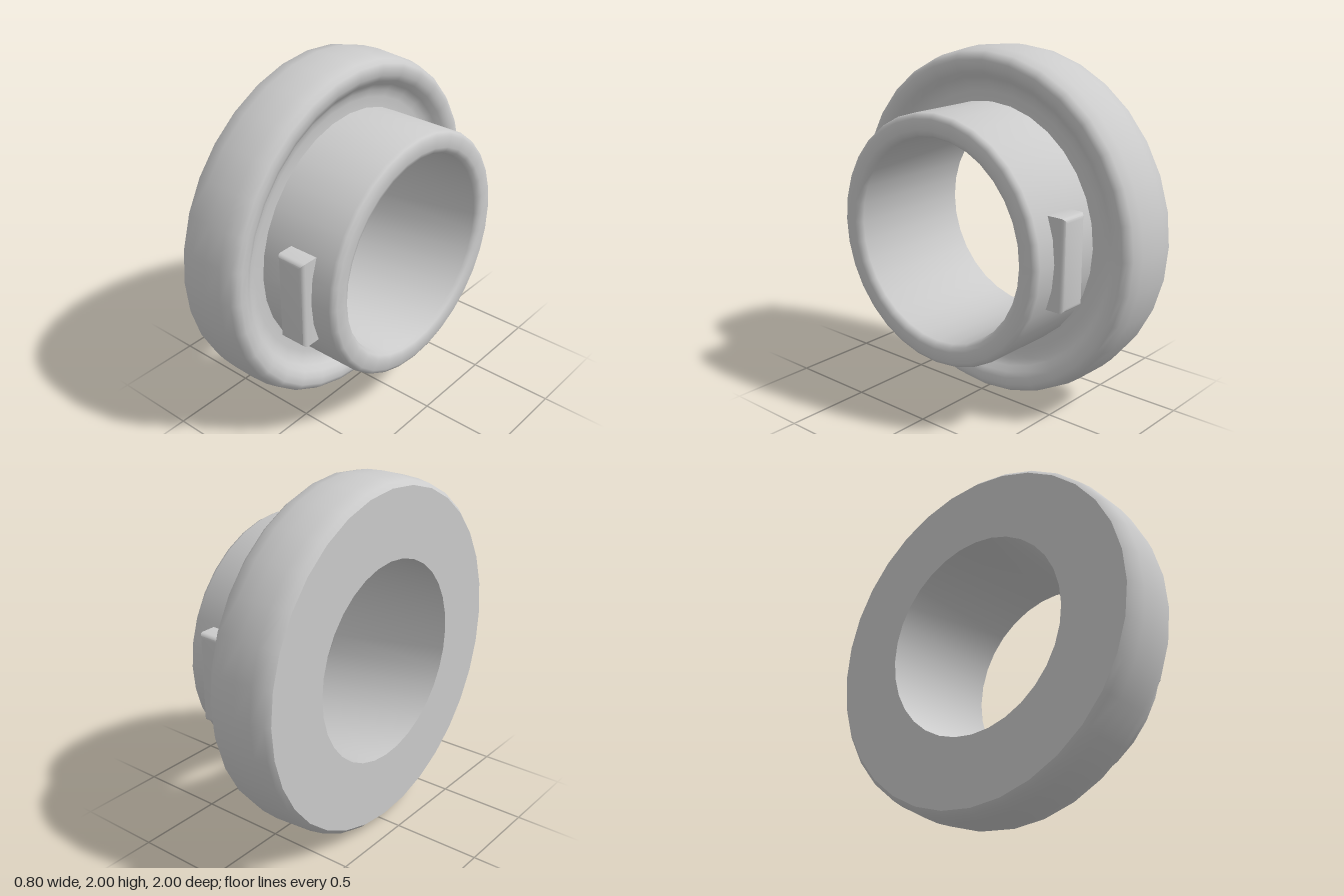
import * as THREE from 'three';
import { toCreasedNormals } from 'three/addons/utils/BufferGeometryUtils.js';

const material = new THREE.MeshStandardMaterial({ color: 0xcccccc });

function addMesh(parent, geometry, name, crease) {
  const mesh = new THREE.Mesh(toCreasedNormals(geometry, crease), material);
  mesh.name = name;
  parent.add(mesh);
  return mesh;
}

export function createModel() {
  const model = new THREE.Group();
  model.name = 'flangedCollar';

  // Flange and sleeve turned as one closed profile: [radius, position along x]
  const profile = [
    [0.57, -0.4], [0.955, -0.4], [0.98, -0.375], [0.994, -0.3], [1, -0.2],
    [0.994, -0.1], [0.98, -0.035], [0.96, -0.008], [0.935, 0], [0.895, -0.004],
    [0.862, -0.02], [0.835, -0.05], [0.8, -0.072], [0.76, -0.08], [0.7, -0.08], // dished front
    [0.7, 0.37], [0.692, 0.388], [0.67, 0.4], [0.61, 0.4], [0.585, 0.392], [0.57, 0.37], // rounded lip
    [0.57, -0.4],
  ].map(([r, x]) => new THREE.Vector2(r, x));
  const body = new THREE.LatheGeometry(profile, 32);
  body.rotateZ(-Math.PI / 2);
  addMesh(model, body, 'flangeAndSleeve', 0.75).position.y = 1;

  // Bevelled locking lugs on the front and back of the sleeve
  const bevel = 0.025;
  const w = 0.085 - bevel, h = 0.25 - bevel;
  const outline = new THREE.Shape([
    new THREE.Vector2(-w, -h), new THREE.Vector2(w, -h),
    new THREE.Vector2(w, h), new THREE.Vector2(-w, h),
  ]);
  const lug = new THREE.ExtrudeGeometry(outline, {
    depth: 0.1, bevelEnabled: true, bevelSize: bevel, bevelThickness: bevel, bevelSegments: 3,
  });
  lug.translate(0, 0, 0.76 - 0.1 - bevel);
  for (const [name, turn] of [['frontLug', 0], ['backLug', Math.PI]]) {
    const mesh = addMesh(model, lug, name, 0.7);
    mesh.position.set(0.17, 1, 0);
    mesh.rotation.y = turn;
  }
  return model;
}
